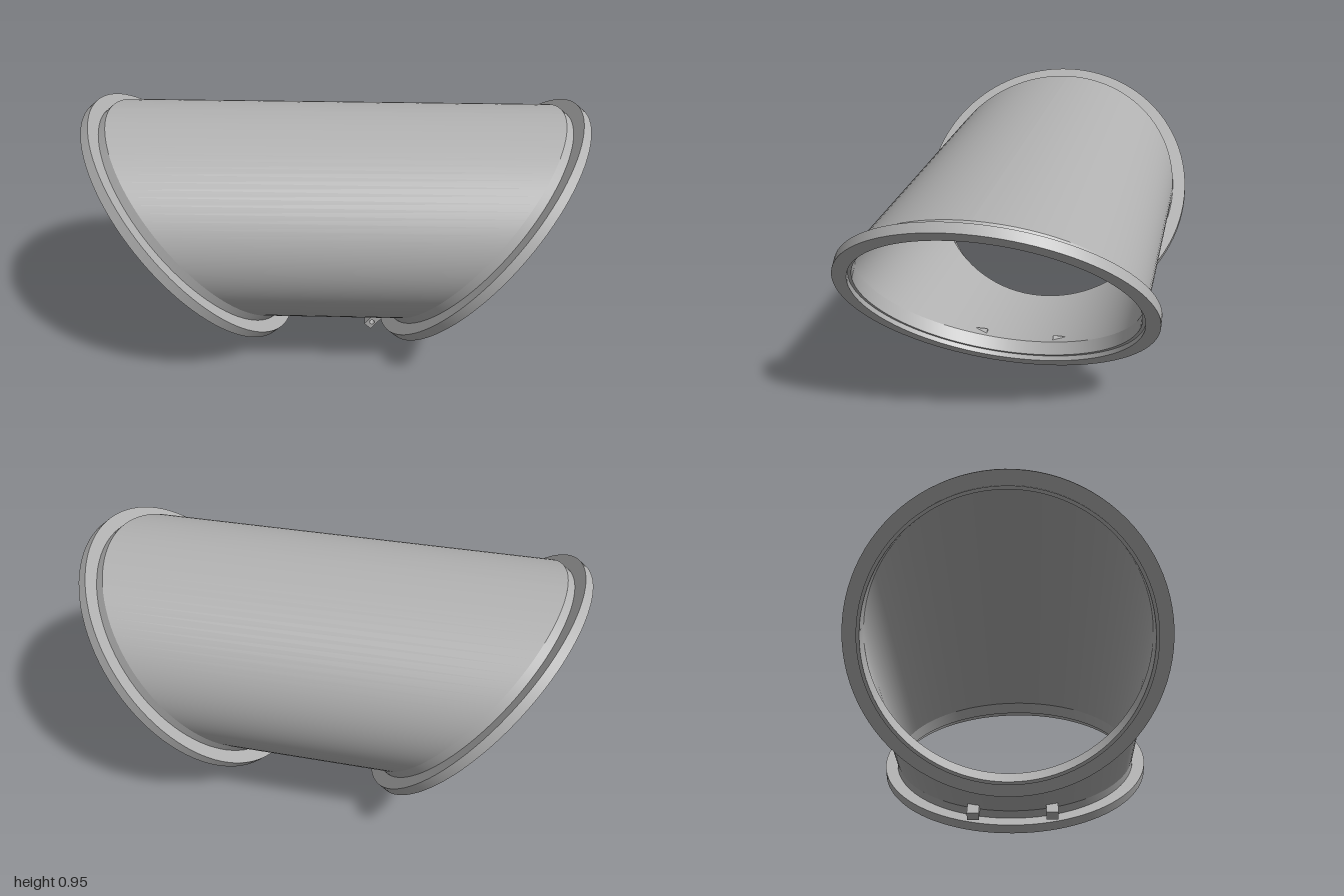
import * as THREE from 'three';
import { toCreasedNormals } from 'three/addons/utils/BufferGeometryUtils.js';

const SEG = 96;
const NX = 0.765, NY = -0.644;      // outward direction of the +x mouth
const CX = 0.612, CY = 0.464;       // centre of its flange face
const COLLAR = 0.076;               // depth from flange face to pipe end
const R_OUT = 0.55, R_IN = 0.537, R_FLANGE = 0.605;

// Pipe wall: slanted circular mouths joined by straight lines along x
function pipeWall(r, inside) {
  const pos = [], index = [];
  for (const side of [-1, 1]) {
    for (let i = 0; i <= SEG; i++) {
      const t = (i / SEG) * Math.PI * 2;
      const u = r * Math.cos(t);
      const x = CX - NX * COLLAR - NY * u;
      const y = CY - NY * COLLAR + NX * u;
      pos.push(side * x, y, r * Math.sin(t));
    }
  }
  for (let i = 0; i < SEG; i++) {
    const a = i, b = i + 1, c = i + SEG + 1, d = c + 1;
    if (inside) index.push(a, c, b, b, c, d);
    else index.push(a, b, c, b, d, c);
  }
  const g = new THREE.BufferGeometry();
  g.setAttribute('position', new THREE.Float32BufferAttribute(pos, 3));
  g.setIndex(index);
  g.computeVertexNormals();
  return g;
}

// Flange with its collar; lip > 0 is a raised spigot, lip < 0 a recess
function flangeGeometry(lip) {
  const profile = [
    [R_IN, -COLLAR], [R_OUT, -COLLAR], [R_OUT, -0.04], [R_FLANGE, -0.04],
    [R_FLANGE, 0], [R_OUT, 0], [R_OUT, lip], [R_IN, lip], [R_IN, -COLLAR],
  ].map(([x, y]) => new THREE.Vector2(x, y));
  return toCreasedNormals(new THREE.LatheGeometry(profile, SEG), 0.5);
}

// Small hinge block with a pin hole
function clipGeometry() {
  const s = new THREE.Shape();
  s.moveTo(0.53, -0.11);
  s.lineTo(0.62, -0.11);
  s.lineTo(0.62, -0.075);
  s.lineTo(0.53, -0.075);
  s.closePath();
  const hole = new THREE.Path();
  hole.absarc(0.592, -0.092, 0.01, 0, Math.PI * 2, true);
  s.holes.push(hole);
  return new THREE.ExtrudeGeometry(s, { depth: 0.05, bevelEnabled: false, curveSegments: 8 });
}

export function createModel() {
  const model = new THREE.Group();
  model.name = 'mitredPipe';
  const metal = new THREE.MeshStandardMaterial({ color: 0xb2b2b2 });
  metal.name = 'grey metal';

  const add = (parent, name, geometry) => {
    const mesh = new THREE.Mesh(geometry, metal);
    mesh.name = name;
    parent.add(mesh);
    return mesh;
  };

  add(model, 'pipeOuterWall', pipeWall(R_OUT, false));
  add(model, 'pipeInnerWall', pipeWall(R_IN, true));

  // Each end is built around local y, then tilted to face out and down
  const ends = {};
  for (const [name, side, lip] of [['leftEnd', 1, -0.02], ['rightEnd', -1, 0.022]]) {
    const end = new THREE.Group();
    end.name = name;
    end.position.set(side * CX, CY, 0);
    end.rotation.z = Math.atan2(-side * NX, NY);
    add(end, 'flange', flangeGeometry(lip));
    model.add(end);
    ends[name] = end;
  }

  // Pair of clips under one end, a single key tab under the other
  for (const z of [-0.165, 0.165]) {
    add(ends.leftEnd, 'clip', clipGeometry()).position.z = z - 0.025;
  }
  add(ends.rightEnd, 'keyTab', new THREE.BoxGeometry(0.055, 0.042, 0.08)).position.set(-0.571, -0.06, 0);

  return model;
}
